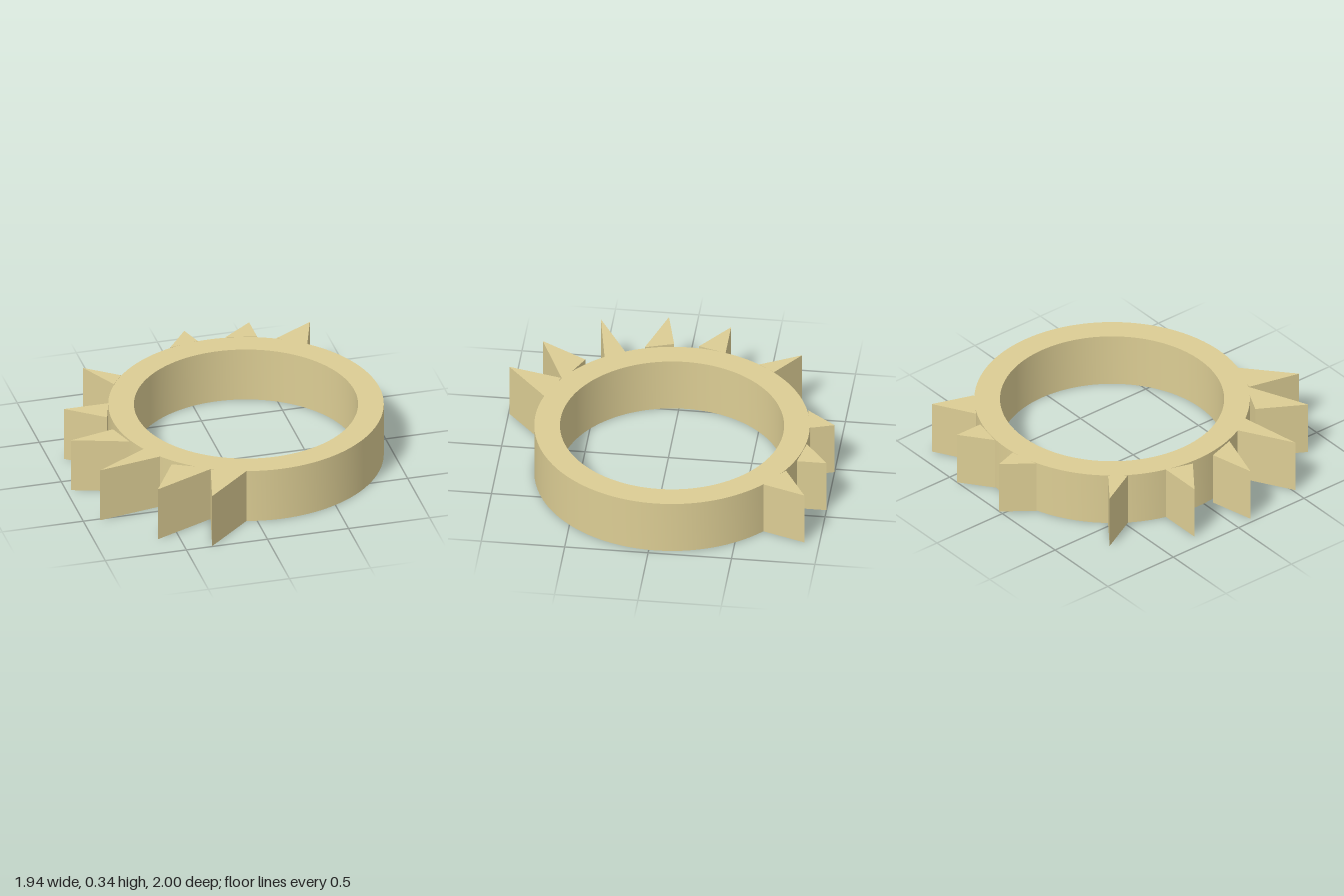
import * as THREE from 'three';
import { toCreasedNormals } from 'three/addons/utils/BufferGeometryUtils.js';

const HEIGHT = 0.34;
const CENTER = [0.15, -0.04]; // ring centre in x, z
const OUTER = 0.82;
const INNER = 0.667;

// Each spike: tip, then the two base corners, as x, z
const SPIKES = [
  [[0.78, -0.91], [0.535, -0.77], [0.695, -0.655]],
  [[0.43, -1.0], [0.245, -0.86], [0.43, -0.822]],
  [[0.03, -1.0], [-0.105, -0.825], [0.075, -0.86]],
  [[-0.67, -0.72], [-0.475, -0.575], [-0.545, -0.48]],
  [[-0.91, -0.265], [-0.638, -0.265], [-0.69, -0.1]],
  [[-0.97, 0.115], [-0.695, 0.05], [-0.64, 0.22]],
  [[-0.9, 0.515], [-0.58, 0.33], [-0.51, 0.445]],
  [[-0.63, 0.83], [-0.47, 0.555], [-0.245, 0.665]],
  [[-0.34, 0.995], [-0.262, 0.675], [-0.06, 0.75]],
];

// Extrudes a plan outline (drawn with y = -z) upward from the ground
function slab(shape) {
  const geometry = new THREE.ExtrudeGeometry(shape, {
    depth: HEIGHT, bevelEnabled: false, curveSegments: 96,
  });
  return geometry.rotateX(-Math.PI / 2);
}

export function createModel() {
  const group = new THREE.Group();
  group.name = 'spikedRing';
  const material = new THREE.MeshStandardMaterial({ color: 0xdccd94 });

  // Smooth round band
  const [cx, cz] = CENTER;
  const outline = new THREE.Shape().absarc(cx, -cz, OUTER, 0, Math.PI * 2, false);
  outline.holes.push(new THREE.Path().absarc(cx, -cz, INNER, 0, Math.PI * 2, true));
  const band = new THREE.Mesh(toCreasedNormals(slab(outline), 0.6), material);
  band.name = 'band';
  group.add(band);

  // Triangular spikes of uneven size around the outside
  const spikes = new THREE.Group();
  spikes.name = 'spikes';
  SPIKES.forEach((corners, i) => {
    const shape = new THREE.Shape(corners.map(([x, z]) => new THREE.Vector2(x, -z)));
    const spike = new THREE.Mesh(slab(shape), material);
    spike.name = `spike${i + 1}`;
    spikes.add(spike);
  });
  group.add(spikes);
  return group;
}
